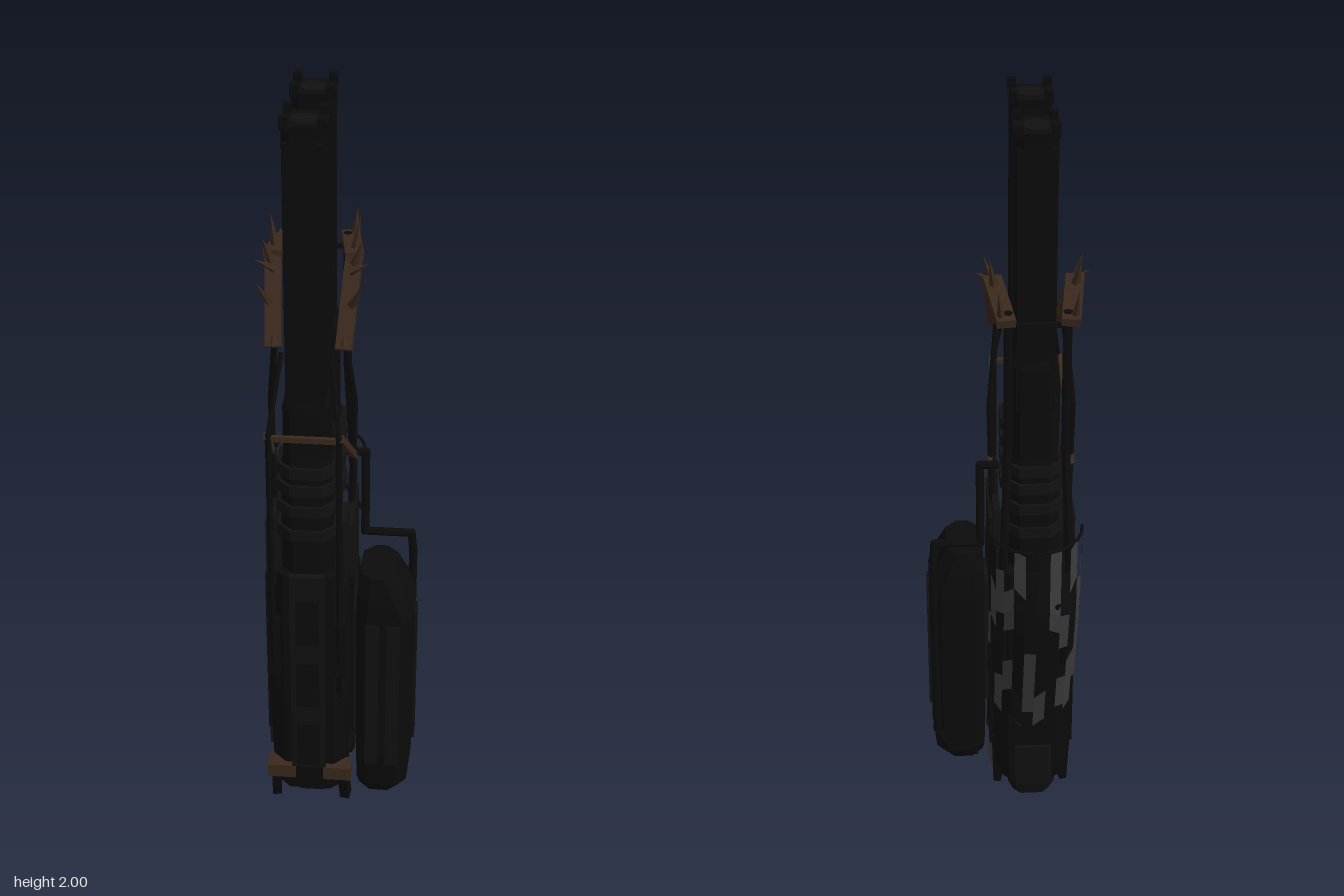
import * as THREE from 'three';

const mat = (name, color, side = THREE.FrontSide) => {
  const m = new THREE.MeshStandardMaterial({ color, side, flatShading: true });
  m.name = name;
  return m;
};
const V = (x, y, z) => new THREE.Vector3(x, y, z);
const CX = -0.07; // centre line of the weapon

export function createModel() {
  const root = new THREE.Group();
  root.name = 'twinBarrelWeapon';
  const black = mat('blackMetal', 0x0b0b0c);
  const dark = mat('darkMetal', 0x111112);
  const brown = mat('brownLeather', 0x3a281c);
  const grey = mat('greyCloth', 0x3c3c3e);
  const cloth = mat('blackCloth', 0x0d0d0d);

  const add = (name, geo, m, parent = root) => {
    const mesh = new THREE.Mesh(geo, m);
    mesh.name = name;
    parent.add(mesh);
    return mesh;
  };
  const box = (name, x, y, z, w, h, d, m = black) => {
    const mesh = add(name, new THREE.BoxGeometry(w, h, d), m);
    mesh.position.set(x, y, z);
    return mesh;
  };
  // chamfered rectangle lofted upward; rows are [y, x, z, width, depth, chamfer]
  const loft = (name, rows, m = black) => {
    const rings = rows.map(([y, x, z, w, d, c]) => {
      const a = w / 2, b = d / 2;
      return [[c - a, b], [a - c, b], [a, b - c], [a, c - b], [a - c, -b], [c - a, -b], [-a, c - b], [-a, b - c]]
        .map(([px, pz]) => V(x + px, y, z + pz));
    });
    const pts = [];
    const last = rings.length - 1;
    for (let i = 0; i < 8; i++) {
      const j = (i + 1) % 8;
      for (let r = 0; r < last; r++) {
        const [p, q] = [rings[r], rings[r + 1]];
        pts.push(p[i], p[j], q[j], p[i], q[j], q[i]);
      }
      if (i > 0 && i < 7) {
        pts.push(rings[last][0], rings[last][i], rings[last][j]);
        pts.push(rings[0][0], rings[0][j], rings[0][i]);
      }
    }
    const g = new THREE.BufferGeometry().setFromPoints(pts);
    g.computeVertexNormals();
    return add(name, g, m);
  };
  // chain of round bars through points
  const rod = (name, pts, r, m = black) => {
    const g = new THREE.Group();
    g.name = name;
    for (let i = 0; i < pts.length - 1; i++) {
      const [a, b] = [V(...pts[i]), V(...pts[i + 1])];
      const d = b.clone().sub(a);
      const bar = add(name + 'Bar', new THREE.CylinderGeometry(r, r, d.length() + r, 8), m, g);
      bar.position.copy(a).add(b).multiplyScalar(0.5);
      bar.quaternion.setFromUnitVectors(V(0, 1, 0), d.normalize());
    }
    root.add(g);
  };
  // flat beam between two points
  const beam = (name, a, b, w, h, m) => {
    const [p, q] = [V(...a), V(...b)];
    const mesh = add(name, new THREE.BoxGeometry(w, h, p.distanceTo(q)), m);
    mesh.position.copy(p).add(q).multiplyScalar(0.5);
    mesh.lookAt(q);
  };
  const spike = (pos, dir, len, r) => {
    const mesh = add('spike', new THREE.ConeGeometry(r, len, 4), brown);
    mesh.quaternion.setFromUnitVectors(V(0, 1, 0), V(...dir).normalize());
    mesh.position.set(...pos).addScaledVector(V(...dir).normalize(), len / 2);
  };

  // main receiver
  loft('receiver', [
    [0.07, CX, 0.05, 0.17, 0.3, 0.03], [0.13, CX, 0.05, 0.2, 0.31, 0.035],
    [0.38, CX, 0.055, 0.21, 0.33, 0.04], [0.72, CX, 0.05, 0.21, 0.33, 0.04],
    [0.78, CX, 0.05, 0.2, 0.32, 0.04]]);
  loft('buttBlock', [[0.02, CX, -0.03, 0.1, 0.14, 0.02], [0.06, CX, -0.03, 0.13, 0.16, 0.02],
    [0.2, CX, -0.03, 0.13, 0.17, 0.02]], dark);
  loft('frontToe', [[0.03, CX, 0.12, 0.1, 0.08, 0.02], [0.2, CX, 0.13, 0.12, 0.16, 0.02]], dark);
  box('frontSpine', CX, 0.48, 0.22, 0.09, 0.62, 0.02, dark);
  for (const y of [0.25, 0.45, 0.65]) box('spinePanel', CX, y, 0.229, 0.06, 0.14, 0.012);

  // barrels, their lower sleeves and collars
  for (const [z, sleeveTop] of [[0.16, 1.29], [-0.05, 1.4]]) {
    loft('barrel', [[0.78, CX, z, 0.1, 0.1, 0.02], [1.955, CX, z, 0.1, 0.1, 0.02],
      [1.98, CX, z, 0.108, 0.108, 0.02]]);
    loft('barrelBore', [[1.97, CX, z, 0.06, 0.06, 0.015], [1.982, CX, z, 0.06, 0.06, 0.015]], dark);
    for (const sx of [-1, 1]) {
      for (const sz of [-1, 1]) {
        box('muzzleProng', CX + sx * 0.042, 1.985, z + sz * 0.042, 0.02, 0.03, 0.02);
        box('barrelRib', CX + sx * 0.038, 1.6, z + sz * 0.046, 0.016, 0.68, 0.012);
      }
    }
    loft('barrelSleeve', [[0.8, CX, z, 0.13, 0.13, 0.03], [1.1, CX, z, 0.13, 0.125, 0.03],
      [1.13, CX, z, 0.115, 0.112, 0.02], [sleeveTop - 0.02, CX, z, 0.115, 0.11, 0.02],
      [sleeveTop, CX, z, 0.1, 0.1, 0.02]]);
    for (const y of [0.9, 0.97, 1.03, 1.08]) {
      loft('collar', [[y, CX, z, 0.15, 0.14, 0.035], [y + 0.03, CX, z, 0.15, 0.14, 0.035]], dark);
    }
    box('barrelClamp', CX, 1.39, z > 0 ? 0.1 : 0.008, 0.06, 0.09, 0.025);
  }
  box('centreBlock', CX, 0.82, 0.055, 0.1, 0.1, 0.12, dark);

  // cable loops between the barrels
  for (let i = 0; i < 4; i++) {
    const c = add('cable', new THREE.TorusGeometry(0.045, 0.007, 6, 14, Math.PI), black);
    c.rotation.y = Math.PI / 2;
    c.scale.y = 1.4;
    c.position.set(CX - 0.045 + i * 0.03, 0.88 + (i % 2) * 0.05, 0.05);
  }

  // side hardware, mirrored across the centre line
  for (const s of [-1, 1]) {
    const x = (d) => CX + s * d;
    box('sidePlate', x(0.104), 0.55, 0.06, 0.014, 0.72, 0.2, dark);
    box('sideRidge', x(0.108), 0.5, 0.15, 0.012, 0.5, 0.03);
    box('sideRidge', x(0.108), 0.42, -0.04, 0.012, 0.5, 0.03);
    box('upperPlate', x(0.094), 0.85, -0.04, 0.018, 0.22, 0.08, dark);
    box('upperPlate', x(0.09), 0.85, 0.16, 0.018, 0.2, 0.09, dark);

    // front frame rods
    rod('frontRod', [[x(0.085), 1.22, 0.258], [x(0.085), 0.66, 0.258], [x(0.085), 0.5, 0.24], [x(0.08), 0.4, 0.2]], 0.008);
    box('frontRodSleeve', x(0.085), 0.58, 0.236, 0.03, 0.17, 0.03);
    beam('slantedStrut', [x(0.09), 1.22, 0.26], [x(0.105), 1.03, 0.02], 0.012, 0.018, brown);
    rod('frontStay', [[x(0.085), 1.22, 0.26], [x(0.06), 1.4, 0.18]], 0.006);
    rod('sideRod', [[x(0.1), 0.9, 0.04], [x(0.105), 1.2, 0.04], [x(0.085), 1.4, 0.09]], 0.008);

    // brown spiked arm
    beam('armFront', [x(0.085), 1.39, 0.13], [x(0.098), 1.57, -0.01], 0.04, 0.022, brown);
    beam('armRear', [x(0.1), 1.575, 0], [x(0.075), 1.55, -0.19], 0.045, 0.02, brown);
    spike([x(0.095), 1.56, -0.04], [s * 0.15, 1, -0.2], 0.1, 0.014);
    spike([x(0.085), 1.54, -0.17], [s * 0.1, 1, -0.15], 0.09, 0.013);
    spike([x(0.1), 1.56, 0.01], [s * 0.3, 1, 0.2], 0.07, 0.012);
    spike([x(0.1), 1.48, 0.07], [s * 0.4, 1, 0.5], 0.08, 0.012);
    spike([x(0.09), 1.55, 0.03], [s, 0.5, 0.1], 0.055, 0.012);
    spike([x(0.085), 1.41, 0.12], [0, -0.4, 1], 0.03, 0.012);

    // rear support rods
    rod('rearRod', [[x(0.07), 1.56, -0.16], [x(0.07), 1.2, -0.163], [x(0.08), 0.95, -0.195],
      [x(0.09), 0.72, -0.16], [x(0.08), 0.5, -0.11]], 0.011);
    rod('netBrace', [[x(0.11), 0.78, -0.13], [x(0.05), 0.78, -0.255]], 0.006);

    // foot clamp and lower claw
    box('footClamp', x(0.075), 0.145, 0.2, 0.075, 0.04, 0.05, brown);
    beam('lowerClaw', [x(0.09), 0.13, 0.2], [x(0.095), 0.03, 0.17], 0.025, 0.03, black);
    beam('rearClaw', [x(0.095), 0.2, -0.05], [x(0.09), 0.02, -0.03], 0.02, 0.03, black);
  }
  beam('frontCrossbar', [CX - 0.09, 1.21, 0.255], [CX + 0.09, 1.21, 0.255], 0.012, 0.014, brown);
  beam('rearCrossbar', [CX - 0.08, 1.53, -0.16], [CX + 0.08, 1.53, -0.16], 0.01, 0.012, black);

  // torn cloth shell wrapped around the back, outward faces only
  const onShell = (u, v) => {
    const y = 0.02 + v * 0.93;
    const back = y < 0.72 ? -0.03 - 0.23 * ((y - 0.02) / 0.7) : -0.262;
    const t = u * Math.PI;
    return V(CX + 0.118 * Math.cos(t), y, back + 0.12 * (1 - Math.sin(t)));
  };
  const patches = { grey: [], black: [] };
  const NU = 12, NV = 14;
  for (let i = 0; i < NU; i++) {
    for (let j = 0; j < NV; j++) {
      const h = Math.abs(Math.sin(i * 12.99 + Math.floor(j / 2 + i / 3) * 78.23) * 437.58) % 1;
      if (h < 0.36) continue;
      const p = (a, b) => onShell((i + a) / NU, Math.min(1, (j + b + 0.3 * Math.sin((i + a) * 2)) / NV));
      const [a, b, c, d] = [p(0, 0), p(1, 0), p(1, 1), p(0, 1)];
      patches[h > 0.68 ? 'grey' : 'black'].push(a, c, b, a, d, c);
    }
  }
  for (const key of ['grey', 'black']) {
    // wind the faces so they point away from the body
    const list = patches[key];
    for (let k = 0; k < list.length; k += 3) {
      const n = list[k + 1].clone().sub(list[k]).cross(list[k + 2].clone().sub(list[k]));
      const out = V(list[k].x - CX, 0, Math.min(0, list[k].z) - 0.05);
      if (n.dot(out) < 0) [list[k + 1], list[k + 2]] = [list[k + 2], list[k + 1]];
    }
    const g = new THREE.BufferGeometry().setFromPoints(list);
    g.computeVertexNormals();
    add(key + 'ClothPatches', g, key === 'grey' ? grey : cloth);
  }
  const rim = [];
  for (let i = 0; i <= 12; i++) rim.push(onShell(i / 12, 1).toArray());
  rod('clothRim', rim, 0.004);

  // side magazine with ribs and its carrying rail
  loft('magazine', [
    [0.055, 0.115, 0.1, 0.11, 0.15, 0.03], [0.09, 0.122, 0.1, 0.135, 0.185, 0.03],
    [0.2, 0.126, 0.1, 0.148, 0.2, 0.03], [0.64, 0.126, 0.1, 0.148, 0.2, 0.03],
    [0.7, 0.116, 0.1, 0.128, 0.19, 0.03], [0.76, 0.107, 0.1, 0.09, 0.16, 0.03]]);
  box('magazineRib', 0.2, 0.42, 0.105, 0.014, 0.42, 0.05, dark);
  for (const x of [0.095, 0.15]) box('magazinePanel', x, 0.4, 0.2, 0.035, 0.46, 0.01, dark);
  box('magazineMount', 0.045, 0.45, 0.1, 0.03, 0.4, 0.12, dark);
  rod('magazineRail', [[0.02, 1.04, 0.015], [0.062, 1.04, 0.015], [0.062, 0.8, 0.015], [0.183, 0.8, 0.015],
    [0.188, 0.74, 0.005], [0.188, 0.18, 0.005], [0.15, 0.09, 0.02], [0.08, 0.07, 0.03]], 0.011);
  return root;
}
